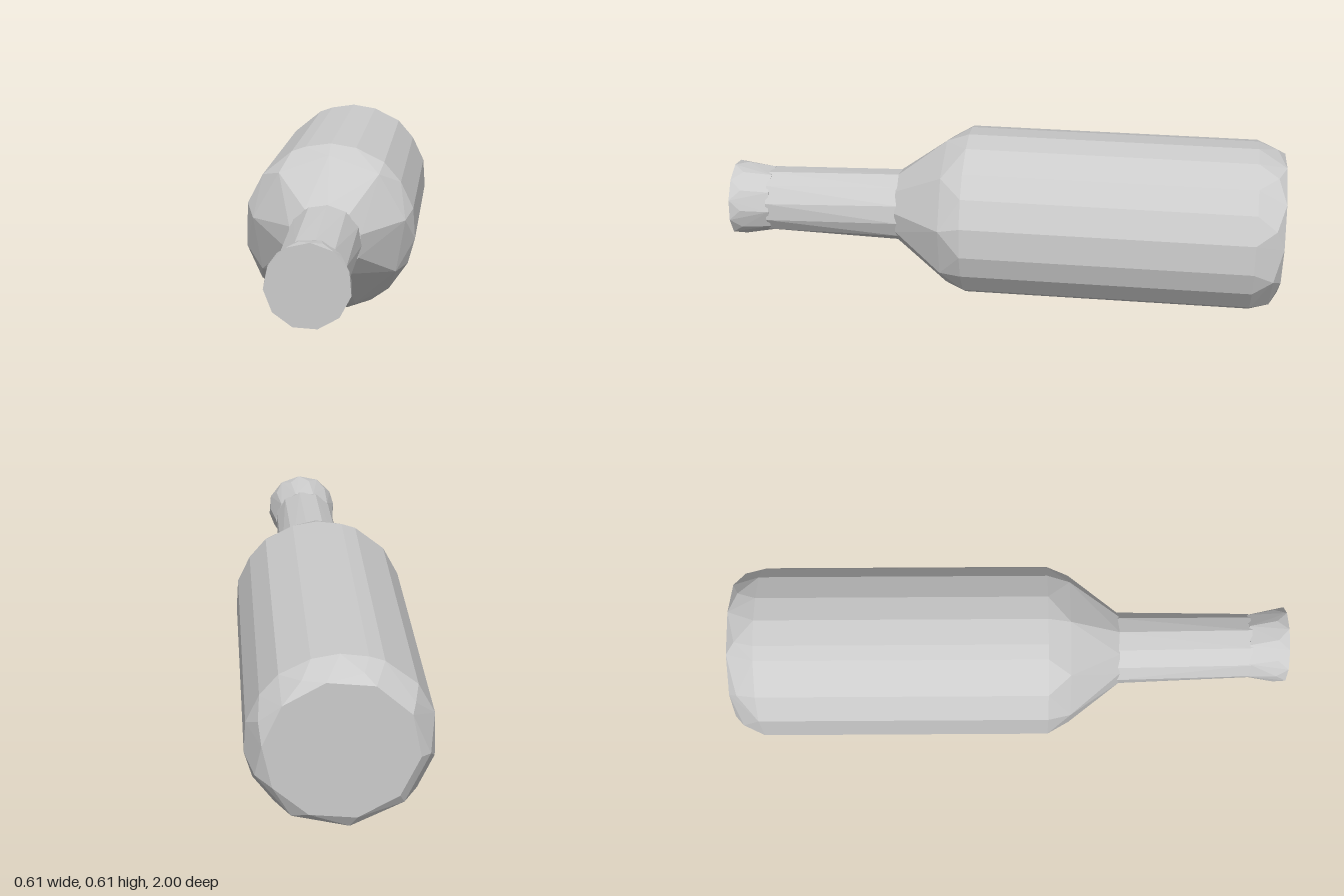
import * as THREE from 'three';
import { ConvexGeometry } from 'three/addons/geometries/ConvexGeometry.js';

// Uneven, hand-cut outline of the body (x, y)
const OUTLINE = [
  [0, 0.61], [0.09, 0.595], [0.19, 0.545], [0.25, 0.475], [0.295, 0.38], [0.302, 0.27],
  [0.277, 0.18], [0.21, 0.085], [0.145, 0.04], [0.06, 0.01], [-0.02, 0], [-0.14, 0.03],
  [-0.25, 0.115], [-0.304, 0.235], [-0.3, 0.39], [-0.245, 0.495], [-0.14, 0.58], [-0.09, 0.597],
];

// Ring of points around the bottle's long axis (z)
function ring(z, radius, count, turn = 0, cx = 0, cy = 0.31) {
  return Array.from({ length: count }, (_, i) => {
    const a = turn + (i / count) * Math.PI * 2;
    return new THREE.Vector3(cx + radius * Math.sin(a), cy + radius * Math.cos(a), z);
  });
}

// Body outline at a given depth
function outlineRing(z) {
  return OUTLINE.map(([x, y]) => new THREE.Vector3(x, y, z));
}

export function createModel() {
  const bottle = new THREE.Group();
  bottle.name = 'bottle';
  const material = new THREE.MeshStandardMaterial({ color: 0xcccccc, flatShading: true });

  function addHull(name, ...rings) {
    const mesh = new THREE.Mesh(new ConvexGeometry(rings.flat()), material);
    mesh.name = name;
    bottle.add(mesh);
  }

  // Body: bevelled base, long barrel, sloping shoulder
  addHull('body',
    ring(-1, 0.25, 10, 0.2, 0, 0.32),
    ring(-0.97, 0.282, 9, 0.45, 0, 0.305),
    outlineRing(-0.9),
    outlineRing(0.13),
    ring(0.21, 0.275, 9, 0.0, 0, 0.305),
    ring(0.39, 0.13, 10, 0.1));

  // Neck: slightly tapered
  addHull('neck',
    ring(0.38, 0.13, 12, 0.1),
    ring(0.87, 0.118, 11, 0.15, 0.005));

  // Lip: flares out toward the mouth
  addHull('lip',
    ring(0.86, 0.118, 10, 0.3, 0.005),
    ring(0.96, 0.134, 11, 0.35, 0.008),
    ring(1, 0.137, 11, 0.06, 0.01));

  return bottle;
}
